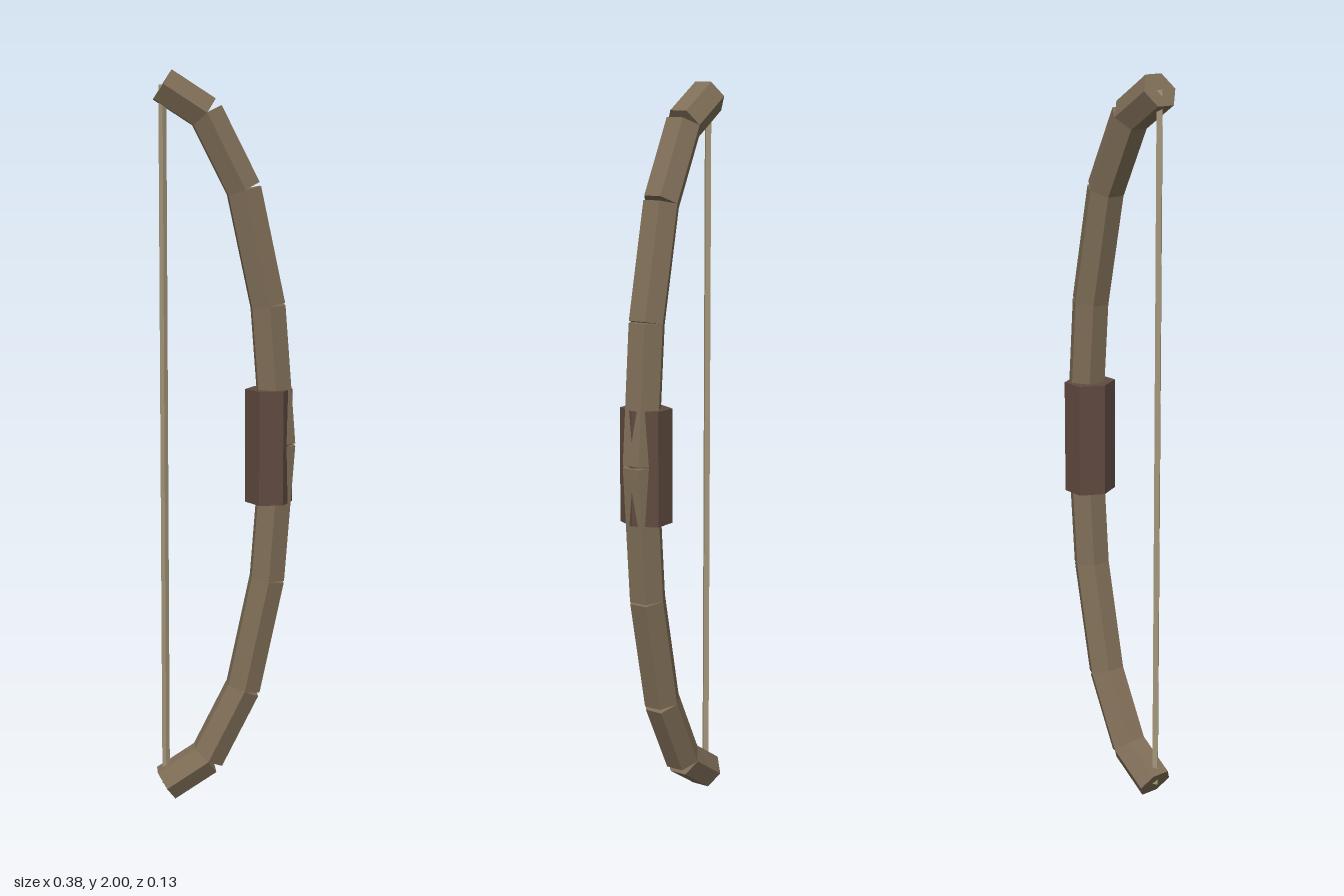
import * as THREE from 'three';

const paint = (name, color) => {
  const m = new THREE.MeshStandardMaterial({ color, flatShading: true });
  m.name = name;
  return m;
};

export function createModel() {
  const wood = paint('brown wood', 0x7f6e57);
  const leather = paint('dark leather', 0x604a40);
  const cord = paint('pale cord', 0xa4967a);
  const bow = new THREE.Group();
  bow.name = 'bow';

  const add = (name, geometry, material, x, y) => {
    const mesh = new THREE.Mesh(geometry, material);
    mesh.name = name;
    mesh.position.set(x, y, 0);
    bow.add(mesh);
    return mesh;
  };

  // Centre line of one limb, from the grip out to the tip
  const path = [[0.143, 1], [0.114, 1.377], [0.048, 1.688], [-0.053, 1.888], [-0.168, 1.962]]
    .map(([x, y]) => new THREE.Vector2(x, y));
  const up = new THREE.Vector3(0, 1, 0);

  // Straight six-sided staves, square cut so the outer side opens at each joint
  for (const side of [1, -1]) {
    for (let i = 0; i < path.length - 1; i++) {
      const a = path[i], b = path[i + 1];
      const dir = new THREE.Vector3(b.x - a.x, side * (b.y - a.y), 0);
      const stave = add(
        `${side > 0 ? 'upper' : 'lower'}LimbStave${i + 1}`,
        new THREE.CylinderGeometry(0.052, 0.052, dir.length(), 6),
        wood, (a.x + b.x) / 2, 1 + side * ((a.y + b.y) / 2 - 1));
      // Turn within the bow's plane, keeping flat sides toward the string
      dir.normalize();
      if (dir.y < 0) dir.negate();
      stave.quaternion.setFromUnitVectors(up, dir);
    }
  }

  // Six-sided grip with ridges facing forward and back along the bow's plane
  const grip = new THREE.CylinderGeometry(0.073, 0.073, 0.312, 6);
  grip.rotateY(Math.PI / 2);
  grip.scale(0.065 / 0.073, 1, 1);
  add('grip', grip, leather, 0.118, 0.995);

  // Four-sided string between the tips
  add('string', new THREE.CylinderGeometry(0.0105, 0.0105, 1.924, 4), cord, -0.168, 1);

  return bow;
}
